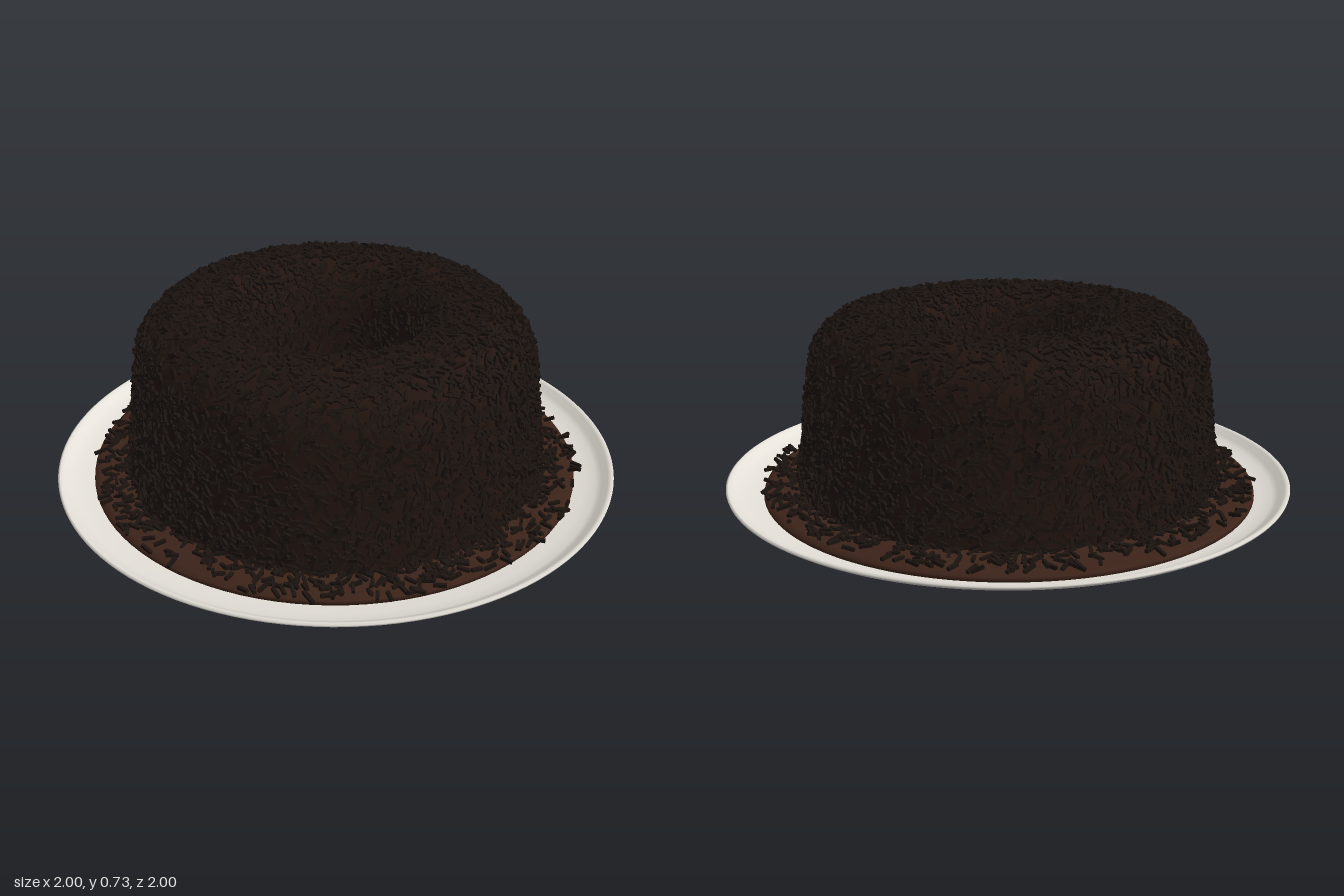
import * as THREE from 'three';
import { mergeGeometries } from 'three/addons/utils/BufferGeometryUtils.js';

const toPoints = (list) => list.map(([r, y]) => new THREE.Vector2(r, y));

function makeRandom(seed) {
  return () => {
    seed = (seed * 1664525 + 1013904223) % 4294967296;
    return seed / 4294967296;
  };
}

function lathe(name, points, color, segments = 96) {
  const material = new THREE.MeshStandardMaterial({ color, side: THREE.DoubleSide });
  const mesh = new THREE.Mesh(new THREE.LatheGeometry(points, segments), material);
  mesh.name = name;
  return mesh;
}

export function createModel() {
  const model = new THREE.Group();
  model.name = 'cakeOnPlate';
  const random = makeRandom(7);

  // Plate: underside with foot ring, rim, then the dished upper face
  model.add(lathe('plate', toPoints([
    [0, 0.008], [0.565, 0.008], [0.575, 0.001], [0.59, 0], [0.61, 0], [0.622, 0.006],
    [0.632, 0.02], [0.65, 0.028], [0.72, 0.036], [0.8, 0.048], [0.88, 0.066],
    [0.94, 0.085], [0.98, 0.103], [0.998, 0.115], [1, 0.122], [0.992, 0.126],
    [0.98, 0.12], [0.96, 0.104], [0.94, 0.093], [0.9, 0.085], [0.8, 0.07],
    [0.6, 0.055], [0, 0.055],
  ]), 0xe4e0d8, 128));

  // Sauce pool lying in the plate and in the hole of the cake
  const sauce = lathe('sauce', toPoints([
    [0.86, 0.07], [0.872, 0.085], [0.87, 0.097], [0.85, 0.104], [0.74, 0.115], [0, 0.115],
  ]), 0x3c2319);
  sauce.position.z = -0.015;
  model.add(sauce);

  // Ring cake: outer wall, rounded crown, then down into the hole
  const profile = new THREE.SplineCurve(toPoints([
    [0.738, 0.1], [0.715, 0.3], [0.69, 0.5], [0.675, 0.58], [0.635, 0.645], [0.57, 0.69],
    [0.48, 0.704], [0.4, 0.693], [0.335, 0.65], [0.295, 0.57], [0.275, 0.4], [0.262, 0.1],
  ]));
  model.add(lathe('cake', profile.getSpacedPoints(60), 0x22140f));

  // Sprinkles: small bars lying along the surface at random angles
  const bar = new THREE.BoxGeometry(0.042, 0.011, 0.011);
  bar.deleteAttribute('uv');
  const bars = [];
  const up = new THREE.Vector3(), along = new THREE.Vector3(), side = new THREE.Vector3();
  const matrix = new THREE.Matrix4();
  function addSprinkle(r, y, normalR, normalY, lift) {
    const a = random() * Math.PI * 2;
    const turn = random() * Math.PI * 2;
    const tilt = (random() - 0.5) * 0.9;
    const c = Math.cos(a), s = Math.sin(a);
    up.set(normalR * c, normalY, normalR * s);
    along.set(-s, 0, c).applyAxisAngle(up, turn);
    side.crossVectors(along, up);
    along.applyAxisAngle(side, tilt);
    up.applyAxisAngle(side, tilt);
    matrix.makeBasis(along, up, side);
    matrix.setPosition(r * c + normalR * lift * c, y + normalY * lift, r * s + normalR * lift * s);
    bars.push(bar.clone().applyMatrix4(matrix));
  }

  // Dense coat on the cake, spread evenly by area
  while (bars.length < 10000) {
    const t = random();
    const p = profile.getPointAt(t);
    if (random() * 0.74 > p.x || p.y < 0.115) continue;
    const d = profile.getTangentAt(t);
    addSprinkle(p.x, p.y, d.y, -d.x, 0.002 + random() * 0.01);
  }
  // Fallen sprinkles around the foot, thinning outwards
  for (let i = 0; i < 850; i++) {
    addSprinkle(0.73 + 0.14 * Math.pow(random(), 1.8), 0.112, 0, 1, 0.003);
  }
  // A few in the hole
  for (let i = 0; i < 80; i++) {
    addSprinkle(0.25 * Math.sqrt(random()), 0.117, 0, 1, 0.002);
  }
  const sprinkles = new THREE.Mesh(
    mergeGeometries(bars),
    new THREE.MeshStandardMaterial({ color: 0x1b130f }),
  );
  sprinkles.name = 'sprinkles';
  model.add(sprinkles);

  return model;
}
